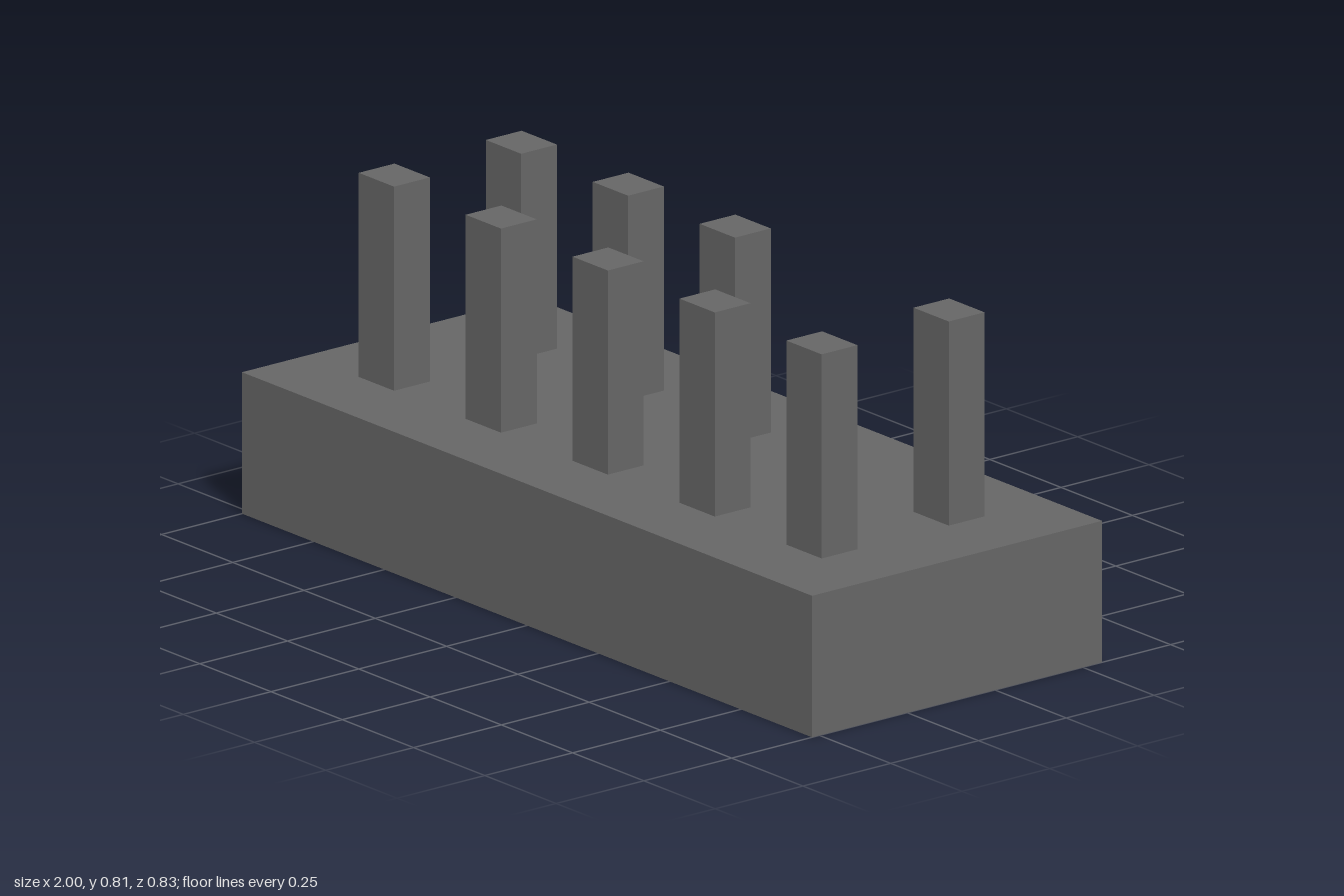
import * as THREE from 'three';

export function createModel() {
  const model = new THREE.Group();
  const dark = new THREE.MeshStandardMaterial({ color: 0x666666 });

  function addBox(name, width, height, depth, x, bottom, z) {
    const mesh = new THREE.Mesh(new THREE.BoxGeometry(width, height, depth), dark);
    mesh.name = name;
    mesh.position.set(x, bottom + height / 2, z);
    model.add(mesh);
  }

  // Housing block
  const top = 0.33;
  addBox('housing', 2, top, 0.826, 0, 0, -0.142);

  // Two rows of five square pins; the back row has one position left empty as a key
  const columns = [-0.75, -0.375, 0, 0.375, 0.75];
  const rows = [
    { name: 'frontPin', z: 0.04 },
    { name: 'backPin', z: -0.322, empty: 3 },
  ];
  for (const row of rows) {
    columns.forEach((x, i) => {
      if (i !== row.empty) addBox(row.name + (i + 1), 0.124, 0.476, 0.102, x, top, row.z);
    });
  }

  return model;
}
